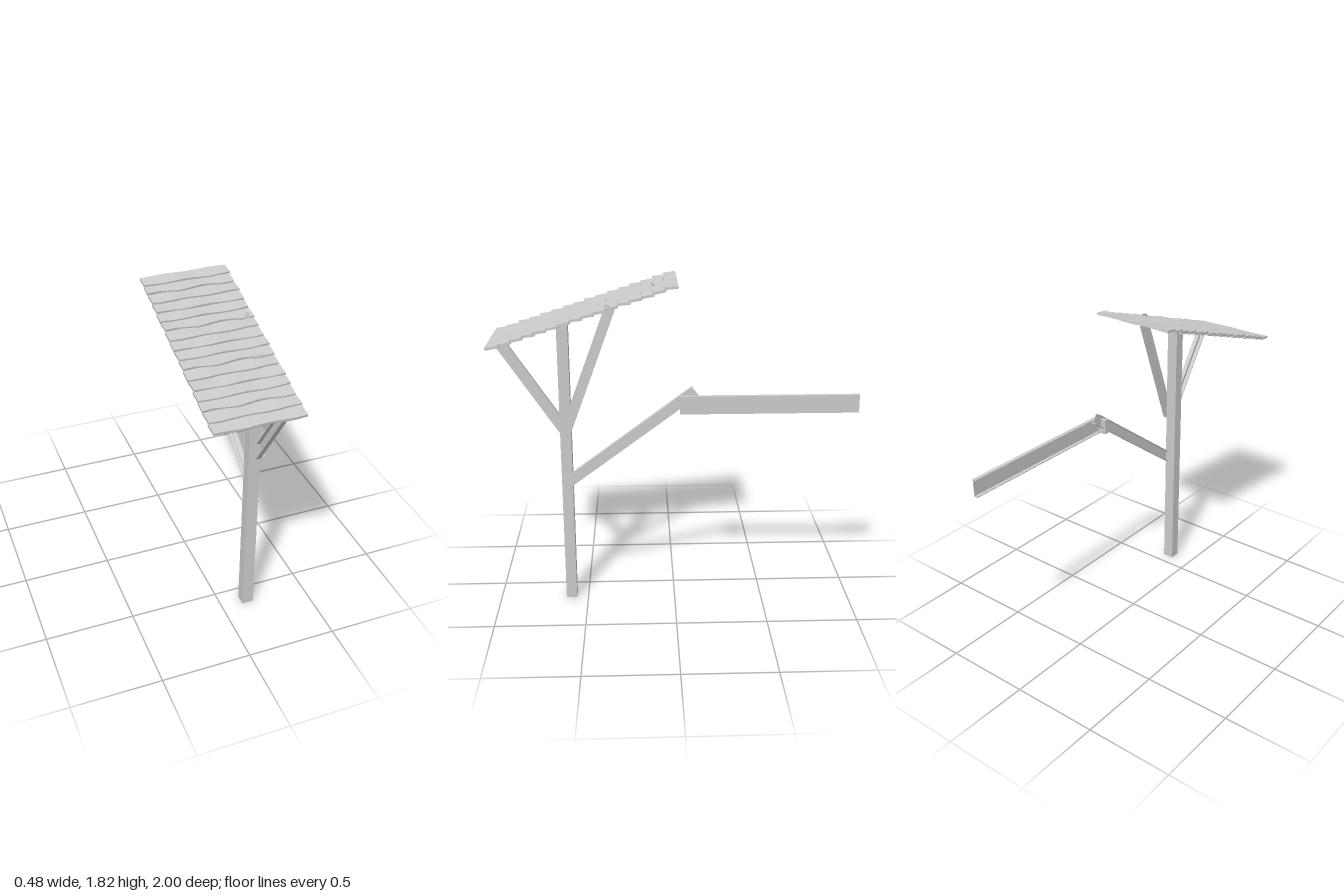
import * as THREE from 'three';

const grey = new THREE.MeshStandardMaterial({ color: 0xcccccc, flatShading: true });

function add(group, name, geometry) {
  const mesh = new THREE.Mesh(geometry, grey);
  mesh.name = name;
  group.add(mesh);
  return mesh;
}

// Box given by its minimum and maximum corners
function box(group, name, [x0, y0, z0], [x1, y1, z1]) {
  const mesh = add(group, name, new THREE.BoxGeometry(x1 - x0, y1 - y0, z1 - z0));
  mesh.position.set((x0 + x1) / 2, (y0 + y1) / 2, (z0 + z1) / 2);
  return mesh;
}

// C-section beam between two [y, z] points; the web is at x1, the flanges reach to x0
function channel(group, name, from, to, x0, x1, height, t = 0.005) {
  const h = height / 2;
  const profile = new THREE.Shape([
    [x0, -h], [x1, -h], [x1, h], [x0, h],
    [x0, h - t], [x1 - t, h - t], [x1 - t, t - h], [x0, t - h],
  ].map(([x, y]) => new THREE.Vector2(x, y)));
  const dy = to[0] - from[0], dz = to[1] - from[1];
  const mesh = add(group, name, new THREE.ExtrudeGeometry(profile, {
    depth: Math.hypot(dy, dz), bevelEnabled: false,
  }));
  mesh.position.set(0, from[0], from[1]);
  mesh.rotation.x = Math.atan2(-dy, dz);
}

// Weathered board with a wavy front edge and a slightly warped surface
function roofBoard(index) {
  const width = 0.47, depth = 0.075, thick = 0.014;
  const wave = [0.004, 0.007, 0.013, 0.006][index % 4];
  const phase = [0.4, 2.2, 0, 1.2][index % 4];
  const geometry = new THREE.BoxGeometry(width, thick, depth, 8, 1, 1);
  const p = geometry.attributes.position;
  for (let i = 0; i < p.count; i++) {
    const x = p.getX(i), y = p.getY(i), z = p.getZ(i);
    const u = x / width;
    const ripple = Math.sin(u * 12 + phase);
    if (z > 0) {
      p.setZ(i, z - wave * (0.5 + 0.5 * ripple));
      p.setY(i, y + (y > 0 ? 0.002 : 0.003) * Math.sin(u * 11 + phase * 2));
      p.setX(i, x + 0.004 * Math.sin(index * 2.1) * Math.abs(u) * 2);
    } else {
      p.setY(i, y - 0.002 * ripple);
    }
  }
  return geometry;
}

export function createModel() {
  const model = new THREE.Group();

  // Upright post
  box(model, 'post', [0.12, 0, 0.565], [0.185, 1.625, 0.625]);

  // Roof braces, side by side on the post
  channel(model, 'frontRoofBrace', [1.01, 0.592], [1.508, 0.922], 0.16, 0.187, 0.058);
  channel(model, 'backRoofBrace', [1.005, 0.597], [1.71, 0.335], 0.187, 0.212, 0.055);

  // Arm and rail reaching backward
  channel(model, 'armBrace', [0.705, 0.607], [1.238, -0.112], 0.165, 0.192, 0.06);
  channel(model, 'rail', [1.17, -0.028], [1.17, -1], 0.205, 0.228, 0.1);
  box(model, 'railBracket', [0.155, 1.13, -0.06], [0.206, 1.215, -0.03]);

  // Sloping roof of overlapping boards
  const roof = new THREE.Group();
  roof.name = 'roof';
  for (let i = 0; i < 16; i++) {
    const board = add(roof, 'roofBoard', roofBoard(i));
    board.position.set(-0.002, 1.497 + 0.0206 * i, 0.963 - 0.063 * i);
    board.rotation.x = 0.17;
  }
  model.add(roof);
  return model;
}
